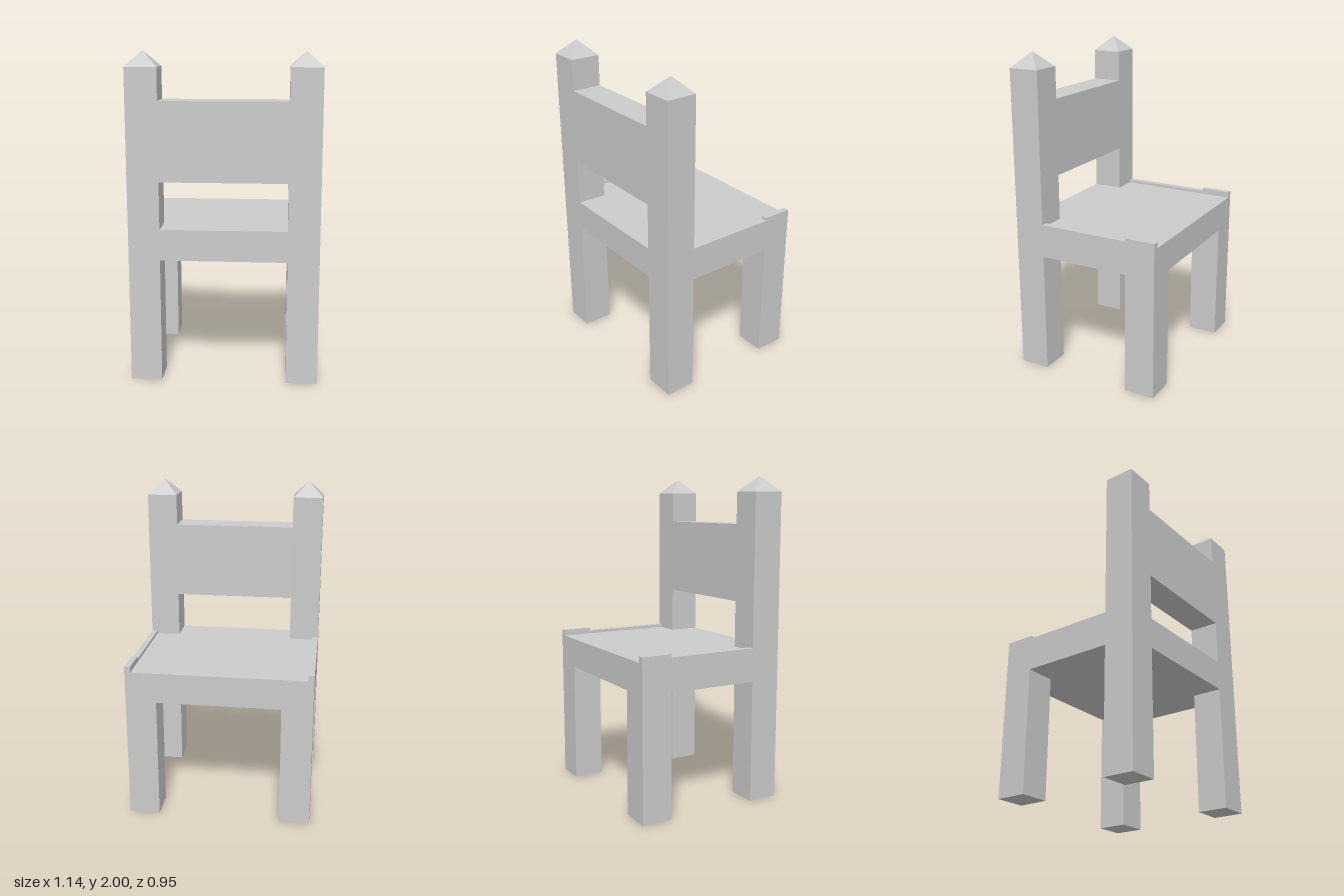
import * as THREE from 'three';

const material = new THREE.MeshStandardMaterial({ color: 0xcccccc, flatShading: true });

// Box given by its lower and upper limits on each axis
function block(name, [x0, x1], [y0, y1], [z0, z1]) {
  const mesh = new THREE.Mesh(new THREE.BoxGeometry(x1 - x0, y1 - y0, z1 - z0), material);
  mesh.position.set((x0 + x1) / 2, (y0 + y1) / 2, (z0 + z1) / 2);
  mesh.name = name;
  return mesh;
}

export function createModel() {
  const chair = new THREE.Group();
  chair.name = 'chair';

  const outer = 0.571, inner = 0.381;   // post limits in x
  const far = 0.476, near = 0.286;      // post limits in z
  const seatBottom = 0.765, seatTop = 0.954, postTop = 1.907;
  const width = outer - inner;

  // Seat slab, with the rail that closes it between the tall posts
  chair.add(block('seat', [-outer, outer], [seatBottom, seatTop], [-far, near]));
  chair.add(block('seatRail', [-inner, inner], [seatBottom, seatTop], [near, far]));

  // Backrest panel between the posts
  chair.add(block('backrest', [-inner, inner], [1.24, 1.714], [near, far]));

  for (const [side, s] of [['left', 1], ['right', -1]]) {
    const span = (a, b) => (s > 0 ? [a, b] : [-b, -a]);

    // Tall post with a pyramid cap
    chair.add(block(side + 'BackPost', span(inner, outer), [0, postTop], [near, far]));
    const cap = new THREE.Mesh(
      new THREE.ConeGeometry(width / Math.SQRT2, 2 - postTop, 4).rotateY(Math.PI / 4), material);
    cap.position.set(s * (inner + outer) / 2, (2 + postTop) / 2, (near + far) / 2);
    cap.name = side + 'PostCap';
    chair.add(cap);

    // Short leg under the seat
    chair.add(block(side + 'Leg', span(inner, outer), [0, seatBottom], [-far, -near]));

    // Raised lip along the seat edge, a little higher above the leg
    chair.add(block(side + 'SeatLip', span(0.534, outer), [seatTop, 0.973], [-near, near]));
    chair.add(block(side + 'LegLip', span(0.534, outer), [seatTop, 0.991], [-far, -near]));
  }
  return chair;
}
